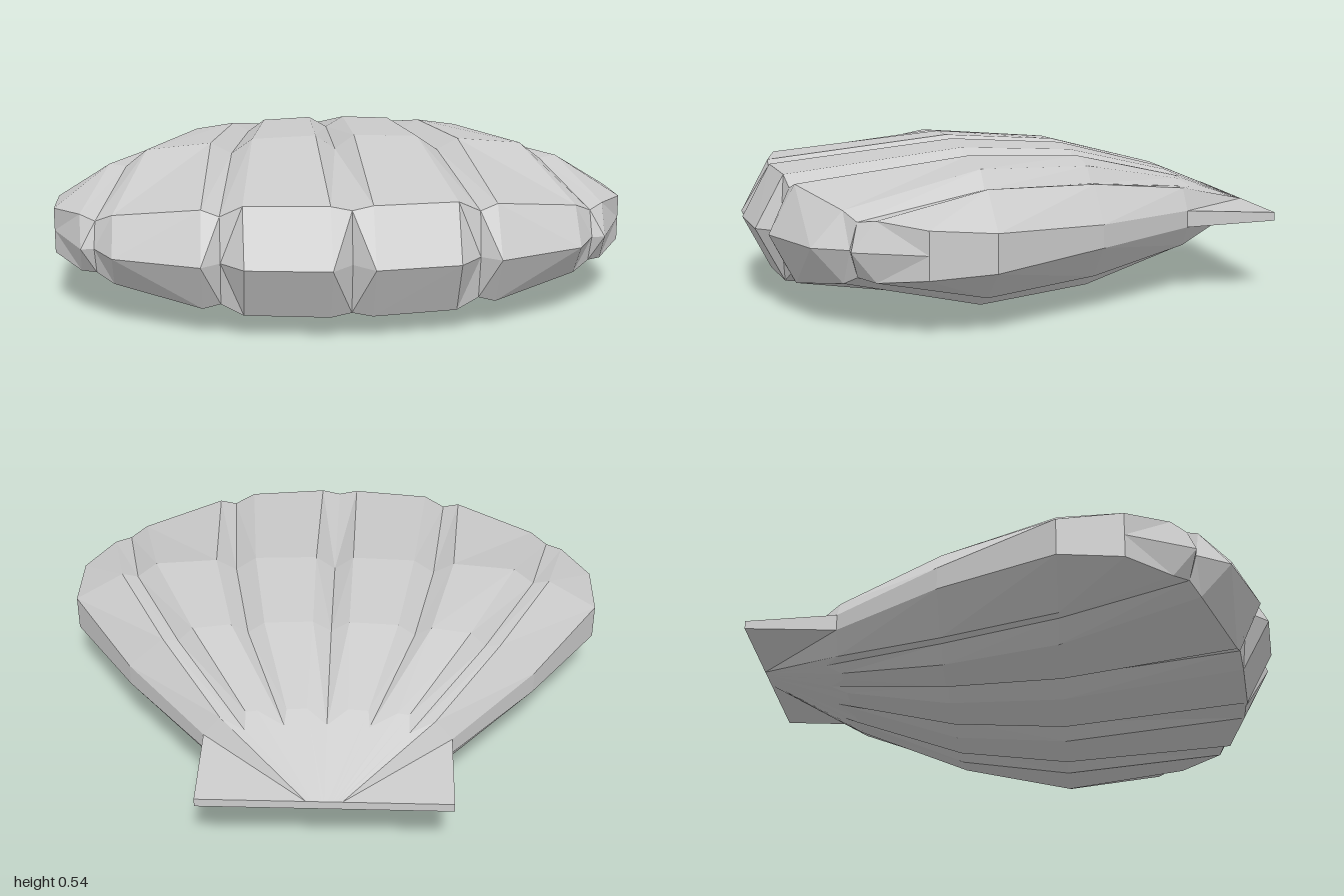
import * as THREE from 'three';

const MID = 0.27; // height of the plane where the two valves meet

// Half sections from the hinge to the rim. Columns run from the centre groove
// outwards: groove, rib, rib, groove, rib, rib, groove, rib, outer edge.
// x = sideways, h = height above the meeting plane, z = depth (one value or per column).
const SECTIONS = [
  { z: -0.95,
    x: [0, 0.01, 0.023, 0.03, 0.039, 0.046, 0.053, 0.06, 0.07],
    h: Array(9).fill(0.015) },
  { z: [-0.68, -0.62, -0.62, -0.68, -0.62, -0.62, -0.68, -0.62, -0.62],
    x: [0, 0.07, 0.14, 0.145, 0.24, 0.28, 0.28, 0.37, 0.43],
    h: [0.126, 0.15, 0.145, 0.12, 0.137, 0.13, 0.098, 0.105, 0.03] },
  { z: -0.23,
    x: [0, 0.065, 0.24, 0.3, 0.36, 0.5, 0.555, 0.61, 0.74],
    h: [0.21, 0.248, 0.24, 0.197, 0.23, 0.21, 0.155, 0.16, 0.04] },
  { z: 0.18,
    x: [0, 0.07, 0.3, 0.375, 0.45, 0.68, 0.755, 0.815, 1],
    h: [0.22, 0.27, 0.262, 0.21, 0.25, 0.23, 0.17, 0.18, 0.065] },
  { z: [0.85, 0.85, 0.815, 0.8, 0.785, 0.65, 0.61, 0.555, 0.4],
    x: [0, 0.07, 0.355, 0.43, 0.49, 0.785, 0.845, 0.9, 1],
    h: [0.175, 0.19, 0.187, 0.15, 0.17, 0.12, 0.09, 0.1, 0.08] },
  { z: [0.88, 0.95, 0.915, 0.83, 0.875, 0.755, 0.635, 0.635, 0.4],
    x: [0, 0.07, 0.355, 0.43, 0.495, 0.785, 0.85, 0.895, 1],
    h: Array(9).fill(0) },
];

// One valve, mirrored left to right; side is 1 for the upper, -1 for the lower
function valveGeometry(side) {
  const positions = [];
  const point = (r, c, mx) => {
    const s = SECTIONS[r];
    const k = Math.min(c, 8); // column 9 drops the outer edge to the meeting plane
    const z = Array.isArray(s.z) ? s.z[k] : s.z;
    return [mx * s.x[k], MID + side * (c === 9 ? 0 : s.h[k]), z];
  };
  for (const mx of [1, -1]) {
    for (let r = 0; r < SECTIONS.length - 1; r++) {
      for (let c = 0; c < 9; c++) {
        const a = point(r, c, mx), b = point(r + 1, c, mx);
        const d = point(r + 1, c + 1, mx), e = point(r, c + 1, mx);
        const corners = mx * side > 0 ? [a, b, d, a, d, e] : [a, d, b, a, e, d];
        positions.push(...corners.flat());
      }
    }
  }
  const geometry = new THREE.BufferGeometry();
  geometry.setAttribute('position', new THREE.Float32BufferAttribute(positions, 3));
  geometry.computeVertexNormals();
  return geometry;
}

// Flat hinge plate that thins towards the back
function hingeGeometry() {
  const geometry = new THREE.BoxGeometry(0.86, 0.06, 0.33);
  const p = geometry.attributes.position;
  for (let i = 0; i < p.count; i++) {
    if (p.getZ(i) < 0) p.setY(i, p.getY(i) * 0.5);
  }
  geometry.translate(0, MID, -0.785);
  geometry.computeVertexNormals();
  return geometry;
}

export function createModel() {
  const group = new THREE.Group();
  group.name = 'scallopShell';
  const material = new THREE.MeshStandardMaterial({ color: 0xcccccc, flatShading: true });
  const add = (name, geometry) => {
    const mesh = new THREE.Mesh(geometry, material);
    mesh.name = name;
    group.add(mesh);
  };
  add('upperValve', valveGeometry(1));
  add('lowerValve', valveGeometry(-1));
  add('hingePlate', hingeGeometry());
  return group;
}
